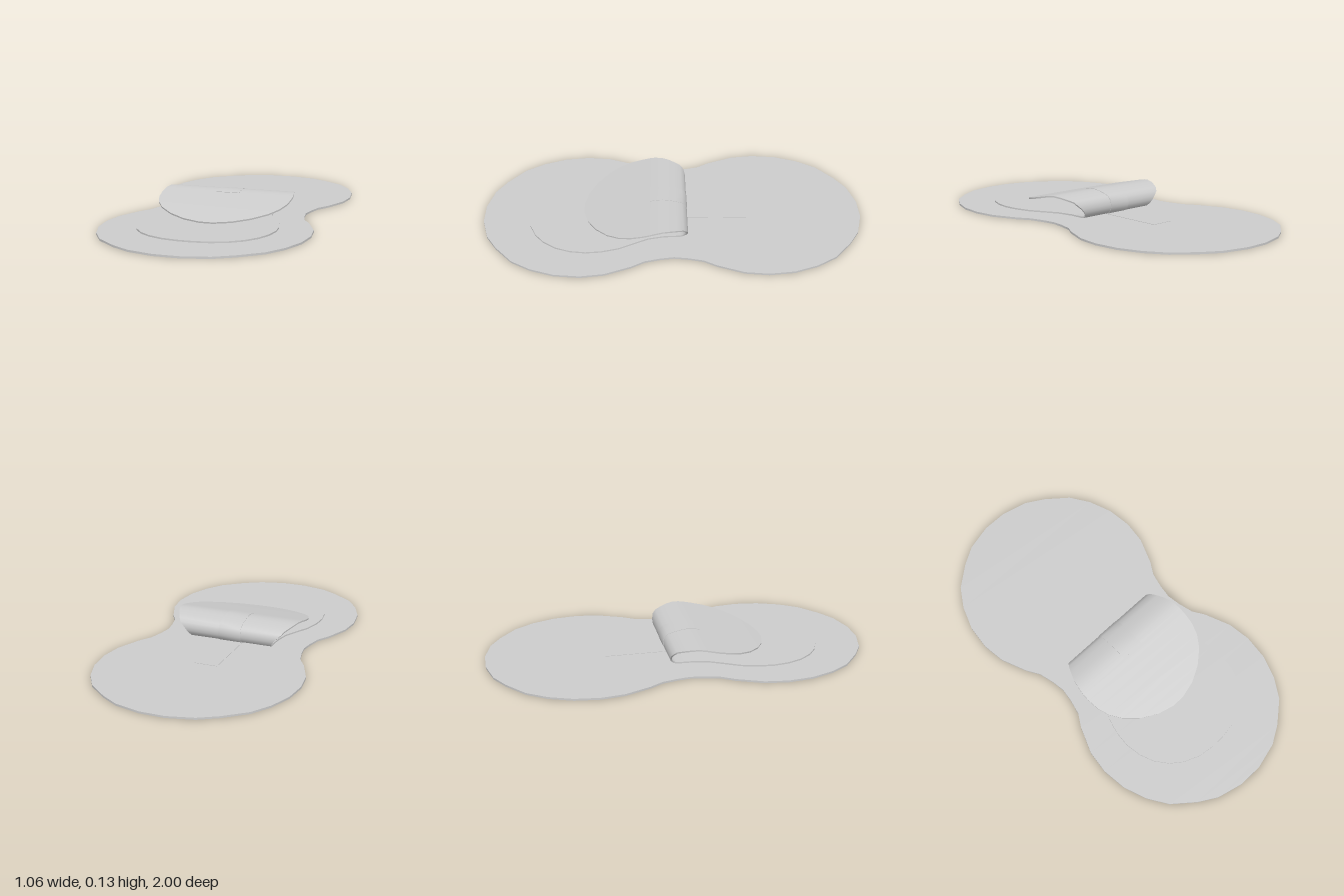
import * as THREE from 'three';
import { toCreasedNormals } from 'three/addons/utils/BufferGeometryUtils.js';

const material = new THREE.MeshStandardMaterial({ color: 0xcccccc, side: THREE.DoubleSide });

// Lofts a sheet through stations [z, y, halfWidth], from offset lo to hi along the path normal
function sheet(name, stations, lo, hi) {
  const pos = [], idx = [], n = stations.length;
  stations.forEach(([z, y, w], i) => {
    const a = stations[Math.max(i - 1, 0)], b = stations[Math.min(i + 1, n - 1)];
    const len = Math.hypot(b[0] - a[0], b[1] - a[1]);
    const nz = -(b[1] - a[1]) / len, ny = (b[0] - a[0]) / len;
    for (const [x, o] of [[-w, hi], [w, hi], [w, lo], [-w, lo]]) pos.push(x, y + ny * o, z + nz * o);
  });
  for (let i = 0; i < n - 1; i++) {
    for (let k = 0; k < 4; k++) {
      const p = i * 4 + k, q = i * 4 + (k + 1) % 4;
      idx.push(p, p + 4, q + 4, p, q + 4, q);
    }
  }
  const e = (n - 1) * 4;
  idx.push(0, 1, 2, 0, 2, 3, e, e + 2, e + 1, e, e + 3, e + 2);
  const geo = new THREE.BufferGeometry();
  geo.setAttribute('position', new THREE.Float32BufferAttribute(pos, 3));
  geo.setIndex(idx);
  const mesh = new THREE.Mesh(toCreasedNormals(geo, 0.9), material);
  mesh.name = name;
  return mesh;
}

export function createModel() {
  const group = new THREE.Group();

  // Backing plate: two round lobes joined by a waist, mirrored front to back
  const lobe = [[1, 0.065], [0.966, 0.2], [0.91, 0.295], [0.82, 0.405], [0.72, 0.47], [0.6, 0.515],
    [0.47, 0.53], [0.35, 0.515], [0.215, 0.46], [0.15, 0.42], [0.07, 0.4]];
  const half = [...lobe, [0, 0.39], ...lobe.map(([z, w]) => [-z, w]).reverse()];
  group.add(sheet('backingPlate', half.map(([z, w]) => [z, 0.005, w]), -0.005, 0.005));

  // Lower round flap, lying on the plate
  const lower = [[0.76, 0.035], [0.748, 0.12], [0.715, 0.2], [0.67, 0.26], [0.605, 0.31], [0.53, 0.34],
    [0.45, 0.352], [0.37, 0.346], [0.28, 0.322], [0.2, 0.28], [0.13, 0.245], [0.05, 0.228]]
    .map(([z, w]) => [z, 0.015, w]);

  // Curl at the back of the folded sheet
  const fold = [[-0.035, 0.015, 0.225], [-0.052, 0.021, 0.226], [-0.065, 0.034, 0.234], [-0.071, 0.05, 0.247],
    [-0.071, 0.067, 0.262], [-0.064, 0.088, 0.285], [-0.048, 0.104, 0.298], [-0.015, 0.114, 0.315],
    [0.02, 0.122, 0.33], [0.055, 0.126, 0.34], [0.09, 0.123, 0.347], [0.12, 0.117, 0.35]];

  // Upper round flap, sloping down to the front
  const upper = [[0.16, 0.108, 0.35], [0.22, 0.095, 0.343], [0.28, 0.082, 0.322], [0.34, 0.068, 0.28],
    [0.4, 0.054, 0.21], [0.445, 0.043, 0.125], [0.467, 0.037, 0.035]];
  group.add(sheet('foldedPad', [...lower, ...fold, ...upper], -0.004, 0.004));

  // Narrow tape: flat on the plate, then wrapped over the curl
  const tape = new THREE.Group();
  tape.name = 'tape';
  tape.add(sheet('tapeOnPlate', [[-0.39, 0.01, 0.062], [-0.04, 0.01, 0.062]], 0, 0.002));
  tape.add(sheet('tapeOverFold', fold.map(([z, y]) => [z, y, 0.062]), 0.004, 0.006));
  group.add(tape);

  return group;
}
